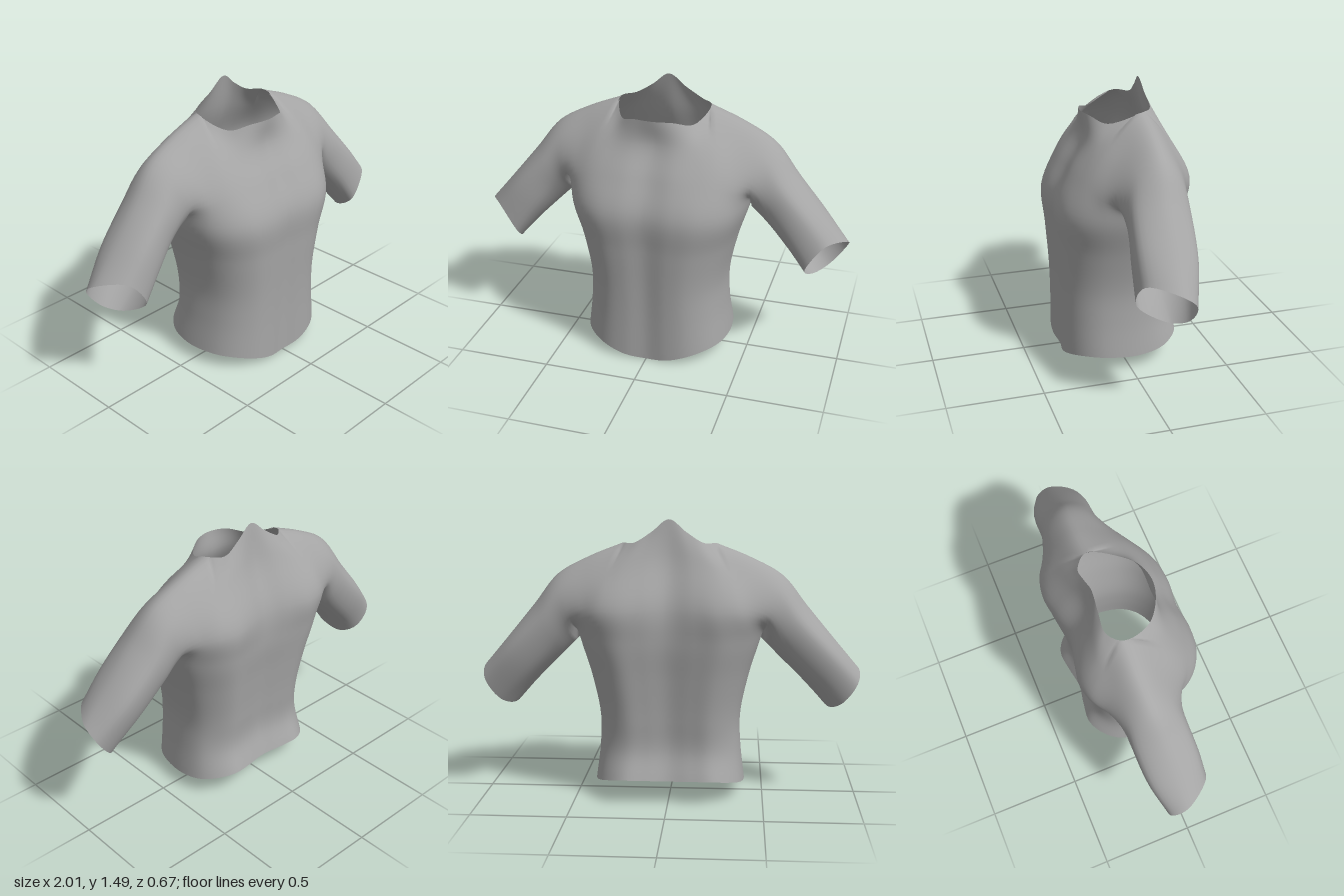
import * as THREE from 'three';
import { mergeVertices } from 'three/addons/utils/BufferGeometryUtils.js';

const N = 6; // samples between stations, centre line to cuff
const K = 6; // samples between control rows, shoulder to hem
const NECK = 3, ARMPIT = 5; // stations where the neck and the torso end

const V = (x, y, z) => new THREE.Vector3(x, y, z);
const mirror = (p) => V(-p.x, p.y, p.z);

// Points along a smooth curve; pre and post only steer the end tangents
function spline(pts, n, pre, post) {
  const all = [...(pre ? [pre] : []), ...pts, ...(post ? [post] : [])];
  const curve = new THREE.CatmullRomCurve3(all);
  const out = [];
  for (let i = 0; i <= (pts.length - 1) * n; i++) {
    out.push(curve.getPoint((i / n + (pre ? 1 : 0)) / (all.length - 1)));
  }
  return out;
}

// Top edge: front and back of the neck opening, then shoulder and sleeve ridge
const neckFront = [V(0, 1.33, 0.165), V(0.1, 1.325, 0.14), V(0.19, 1.3, 0.07)];
const neckBack = [V(0, 1.485, -0.15), V(0.09, 1.42, -0.155), V(0.18, 1.365, -0.155)];
const ridge = [V(0.245, 1.36, -0.09), V(0.42, 1.29, -0.09), V(0.59, 1.195, -0.08),
  V(0.72, 1.035, -0.06), V(0.865, 0.86, -0.05), V(1, 0.7, -0.04)];

// Upper and lower chest rows, running on along the front of the sleeve
const frontRows = [
  [V(0, 1.2, 0.16), V(0.12, 1.2, 0.165), V(0.22, 1.2, 0.14), V(0.3, 1.22, 0.09), V(0.41, 1.19, 0.06),
    V(0.55, 1.13, 0.05), V(0.66, 1, 0.08), V(0.79, 0.86, 0.095), V(0.9, 0.72, 0.1)],
  [V(0, 1.04, 0.24), V(0.13, 1.04, 0.255), V(0.25, 1.04, 0.24), V(0.34, 1.04, 0.21), V(0.43, 1.01, 0.17),
    V(0.505, 0.98, 0.115), V(0.585, 0.87, 0.085), V(0.7, 0.73, 0.1), V(0.805, 0.58, 0.11)],
];
// The same rows on the back
const backRows = [
  [V(0, 1.28, -0.19), V(0.12, 1.27, -0.215), V(0.23, 1.24, -0.23), V(0.31, 1.22, -0.22), V(0.43, 1.18, -0.205),
    V(0.57, 1.11, -0.195), V(0.68, 0.97, -0.2), V(0.84, 0.8, -0.18), V(0.99, 0.63, -0.125)],
  [V(0, 1.04, -0.28), V(0.13, 1.04, -0.31), V(0.25, 1.03, -0.332), V(0.35, 1.03, -0.315), V(0.44, 1.01, -0.265),
    V(0.52, 0.97, -0.22), V(0.6, 0.84, -0.18), V(0.75, 0.68, -0.155), V(0.91, 0.52, -0.115)],
];

// Half ring round the torso at armpit height, front centre to back centre
const chestRing = [V(0, 0.86, 0.318), V(0.14, 0.86, 0.332), V(0.27, 0.86, 0.315), V(0.38, 0.86, 0.25),
  V(0.45, 0.86, 0.15), V(0.48, 0.86, -0.03), V(0.45, 0.86, -0.18), V(0.37, 0.86, -0.27),
  V(0.27, 0.86, -0.315), V(0.14, 0.86, -0.305), V(0, 0.86, -0.285)];
const underarm = [chestRing[ARMPIT], V(0.57, 0.77, -0.04), V(0.69, 0.65, -0.03), V(0.84, 0.49, -0.04)];

// Lower torso rings: height, half width, front depth, back depth
const levels = [[0.66, 0.42, 0.322, 0.285], [0.44, 0.377, 0.31, 0.258], [0.27, 0.38, 0.305, 0.25], [null, 0.402, 0.304, 0.297]];
const hemHeight = (x, z) => z > -0.03
  ? 0.08 * Math.sin((Math.PI / 2) * Math.min(1, x / 0.4)) ** 2
  : 0.08 + 0.05 * (z / 0.29) ** 2;

function lowerRing([y, width, front, back]) {
  return chestRing.map((p) => {
    const x = p.x * width / 0.48;
    const z = p.z * (p.z > 0 ? front / 0.33 : back / 0.315);
    return V(x, y ?? hemHeight(x, z), z);
  });
}

// Splits a smooth half ring into its front and back samples, centre to side
function ringRows(ring) {
  const s = spline(ring, N, mirror(ring[1]), mirror(ring[ring.length - 2]));
  return { front: s.slice(0, ARMPIT * N + 1), back: s.slice(ARMPIT * N).reverse() };
}

// All rows of one side, sampled from the centre line to the cuff
function sideRows(side, neck, otherNeck, middle) {
  const collar = spline([...neck, ridge[0]], N, mirror(neck[1]), otherNeck[2]);
  const top = [...collar, ...spline(ridge, N).slice(1)];
  const mids = middle.map((row) => spline(row, N, mirror(row[1])));
  const bottom = [...ringRows(chestRing)[side], ...spline(underarm, N).slice(1)];
  const lower = levels.map((l) => ringRows(lowerRing(l))[side]);
  return [top, ...mids, bottom, ...lower];
}

// Smooth columns running from the top edge to the hem or underarm
function columns(rows, other) {
  return rows[0].map((_, s) => {
    const pts = rows.filter((r) => s < r.length).map((r) => r[s]);
    const pre = s >= NECK * N ? other[1][s] : null;
    const post = s > ARMPIT * N ? other[2][s] : null;
    return spline(pts, K, pre, post);
  });
}

function shirtGeometry() {
  const frontSide = sideRows('front', neckFront, neckBack, frontRows);
  const backSide = sideRows('back', neckBack, neckFront, backRows);
  const front = columns(frontSide, backSide);
  const back = columns(backSide, frontSide);
  // Close the side seam below the armpit
  const seam = ARMPIT * N;
  for (let j = 3 * K; j < front[seam].length; j++) back[seam][j] = front[seam][j];

  const pos = [];
  const tri = (a, b, c, flip, sx) => {
    for (const p of flip ? [a, c, b] : [a, b, c]) pos.push(p.x * sx, p.y, p.z);
  };
  for (const sx of [1, -1]) {
    for (const cols of [front, back]) {
      const flip = (cols === back) !== (sx < 0);
      for (let s = 0; s < cols.length - 1; s++) {
        const a = cols[s], b = cols[s + 1];
        const count = Math.min(a.length, b.length) - 1;
        for (let j = 0; j < count; j++) {
          tri(a[j], a[j + 1], b[j + 1], flip, sx);
          tri(a[j], b[j + 1], b[j], flip, sx);
        }
      }
    }
  }
  const geo = new THREE.BufferGeometry();
  geo.setAttribute('position', new THREE.Float32BufferAttribute(pos, 3));
  const welded = mergeVertices(geo, 1e-4);
  welded.computeVertexNormals();
  return welded;
}

export function createModel() {
  const cloth = new THREE.MeshStandardMaterial({ color: 0xa6a6a6, side: THREE.DoubleSide });
  cloth.name = 'grey cloth';
  const shirt = new THREE.Mesh(shirtGeometry(), cloth);
  shirt.name = 'shirt';
  const group = new THREE.Group();
  group.name = 'short sleeved shirt';
  group.add(shirt);
  return group;
}
